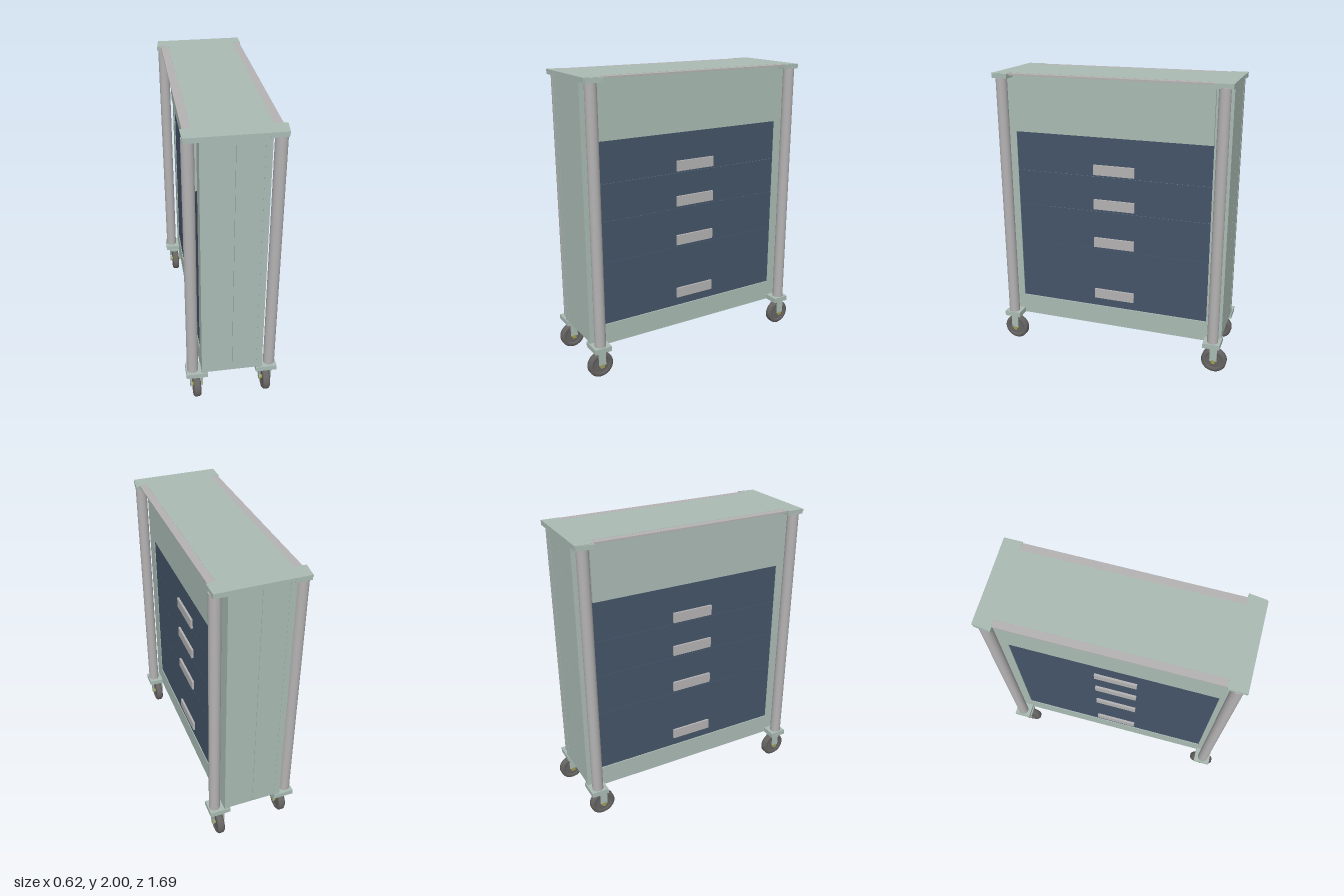
import * as THREE from 'three';

const paint = (color, side = THREE.FrontSide) => new THREE.MeshStandardMaterial({ color, side });
const green = paint(0xaabbb4);
const navy = paint(0x445468);
const steel = paint(0xb4b2b2);
const rubber = paint(0x666462);
const brass = paint(0xa0a048);

// Adds a box given by its lower and upper corner
function block(parent, name, mat, [x0, y0, z0], [x1, y1, z1]) {
  const mesh = new THREE.Mesh(new THREE.BoxGeometry(x1 - x0, y1 - y0, z1 - z0), mat);
  mesh.position.set((x0 + x1) / 2, (y0 + y1) / 2, (z0 + z1) / 2);
  mesh.name = name;
  parent.add(mesh);
  return mesh;
}

// Adds a cylinder lying along x
function rod(parent, name, mat, radius, length, y) {
  const mesh = new THREE.Mesh(new THREE.CylinderGeometry(radius, radius, length, 24), mat);
  mesh.rotation.z = Math.PI / 2;
  mesh.position.y = y;
  mesh.name = name;
  parent.add(mesh);
}

// Caster with its wheel, fork and axle
function makeCaster(x, z) {
  const caster = new THREE.Group();
  caster.name = 'caster';
  const half = 0.025;
  const profile = [[0.055, -half + 0.006], [0.062, -half], [0.078, -half], [0.088, -half + 0.01],
    [0.088, half - 0.01], [0.078, half], [0.062, half], [0.055, half - 0.006]];
  const tyre = new THREE.Mesh(
    new THREE.LatheGeometry(profile.map(([r, h]) => new THREE.Vector2(r, h)), 40), rubber);
  tyre.rotation.z = Math.PI / 2;
  tyre.position.y = 0.093;
  tyre.name = 'tyre';
  caster.add(tyre);
  rod(caster, 'wheelHub', rubber, 0.058, 0.038, 0.093);
  rod(caster, 'axle', brass, 0.014, 0.086, 0.093);
  for (const s of [-1, 1]) {
    const cheek = block(caster, 'forkCheek', green, [-0.004, 0.1, -0.025], [0.004, 0.205, 0.025]);
    cheek.position.x = s * 0.038;
    const tab = block(caster, 'forkTab', green, [-0.004, 0.08, -0.013], [0.004, 0.1, 0.013]);
    tab.position.x = s * 0.038;
  }
  block(caster, 'forkCrown', green, [-0.042, 0.19, -0.035], [0.042, 0.207, 0.035]);
  caster.position.set(x, 0, z);
  return caster;
}

// One long side: panels, drawers, handles, corner plates and poles, facing +x
function makeSide() {
  const side = new THREE.Group();
  side.name = 'cabinetSide';

  // Half of the carcass with a skirt below it
  block(side, 'carcass', green, [0.001, 0.245, -0.8], [0.195, 1.985, 0.8]);
  block(side, 'skirt', green, [0.165, 0.205, -0.69], [0.205, 0.35, 0.69]);
  block(side, 'upperPanel', green, [0.19, 1.6, -0.69], [0.223, 1.985, 0.69]);
  for (const s of [-1, 1]) {
    const post = block(side, 'cornerPost', green, [0.165, 0.205, 0.69], [0.205, 1.985, 0.802]);
    post.position.z *= s;
  }

  // Drawers, from the top down, each with a handle near its lower edge
  const edges = [1.6, 1.32, 1.07, 0.79, 0.35];
  const handles = [1.37, 1.125, 0.845, 0.45];
  for (let i = 0; i < 4; i++) {
    block(side, 'drawerFront', navy, [0.19, edges[i + 1] + 0.002, -0.69], [0.2, edges[i], 0.69]);
    block(side, 'drawerHandle', steel,
      [0.2, handles[i] - 0.035, -0.165], [0.214, handles[i] + 0.035, 0.125]);
  }

  // Overhanging edge of the top
  block(side, 'topEdge', steel, [0.235, 1.988, -0.69], [0.285, 1.999, 0.69]);

  // Poles between upper and lower corner plates
  for (const s of [-1, 1]) {
    const pole = new THREE.Mesh(new THREE.CylinderGeometry(0.038, 0.038, 1.74, 32), steel);
    pole.position.set(0.263, 1.105, s * 0.752);
    pole.name = 'cornerPole';
    side.add(pole);
    const lower = block(side, 'lowerPlate', green, [0.165, 0.205, 0.69], [0.308, 0.24, 0.808]);
    lower.position.z *= s;
    const upper = block(side, 'upperPlate', green, [0.19, 1.968, 0.69], [0.293, 1.999, 0.808]);
    upper.position.z *= s;
  }

  // Tapered lug on one upper corner plate
  const lug = new THREE.Shape();
  lug.moveTo(0.28, -0.8);
  lug.lineTo(0.298, -0.8);
  lug.lineTo(0.312, -0.69);
  lug.lineTo(0.28, -0.69);
  const lugMesh = new THREE.Mesh(
    new THREE.ExtrudeGeometry(lug, { depth: 0.03, bevelEnabled: false }), green);
  lugMesh.rotation.x = -Math.PI / 2;
  lugMesh.position.y = 1.968;
  lugMesh.name = 'cornerLug';
  side.add(lugMesh);
  return side;
}

export function createModel() {
  const model = new THREE.Group();
  model.name = 'drawerTrolley';

  // Two identical sides back to back
  for (const turn of [0, Math.PI]) {
    const side = makeSide();
    side.rotation.y = turn;
    side.position.z = 0.007;
    model.add(side);
  }

  // Top sheet with wider ends
  block(model, 'topSheet', green, [-0.235, 1.98, -0.8], [0.235, 2, 0.815]);
  block(model, 'frontTopEnd', green, [-0.297, 1.985, 0.695], [0.293, 2, 0.815]);
  block(model, 'backTopEnd', green, [-0.297, 1.985, -0.8], [0.29, 2, -0.685]);

  // Casters, the back right one swivelled forwards
  for (const [x, z] of [[-0.238, 0.755], [0.24, 0.755], [0.242, -0.757], [-0.238, -0.71]]) {
    model.add(makeCaster(x, z));
  }
  return model;
}
